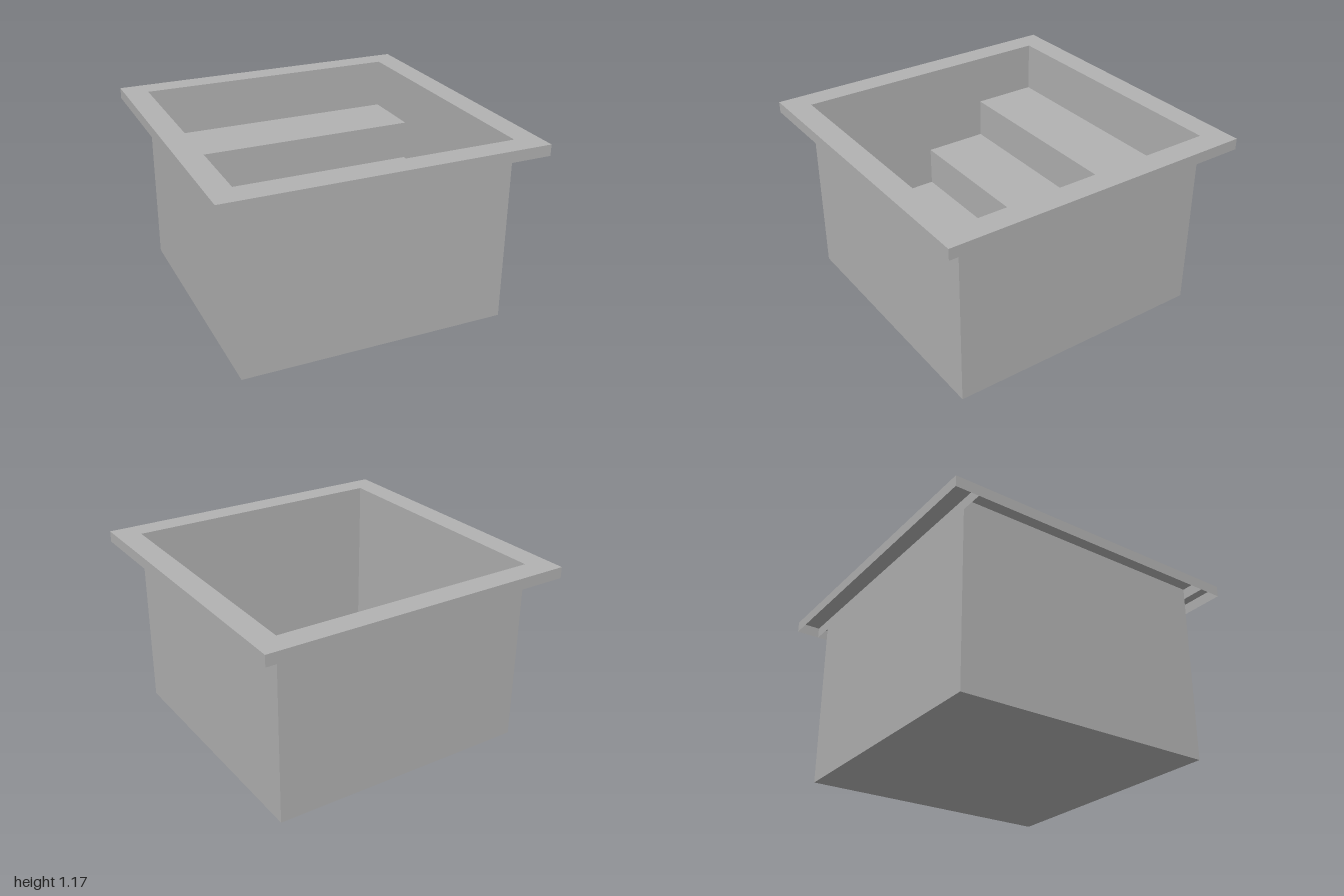
import * as THREE from 'three';

// Overall sizes
const INNER = 0.85;    // half width of the basin
const OUTER = 1;       // half width of the rim
const TOP = 1.175;     // top of the rim
const LIP = 1.105;     // lower edge of the rim
const FLOOR = 0.07;    // height of the basin floor
const RISE = 0.26;     // height of one step
const STEPS = 4;       // treads, the lowest being the floor

export function createModel() {
  const model = new THREE.Group();
  model.name = 'steppedBasin';

  const grey = new THREE.MeshStandardMaterial({ color: 0xb2b2b2, side: THREE.DoubleSide });
  grey.name = 'plainGrey';

  // Thin sheet facing +z, turned about x or y and placed by its centre
  function sheet(name, width, height, position, rotX = 0, rotY = 0) {
    const mesh = new THREE.Mesh(new THREE.PlaneGeometry(width, height), grey);
    mesh.name = name;
    mesh.position.set(...position);
    mesh.rotation.set(rotX, rotY, 0);
    model.add(mesh);
  }

  // Basin walls and underside
  const W = INNER * 2;
  sheet('frontWall', W, TOP, [0, TOP / 2, INNER]);
  sheet('backWall', W, TOP, [0, TOP / 2, -INNER], 0, Math.PI);
  sheet('leftWall', W, TOP, [INNER, TOP / 2, 0], 0, Math.PI / 2);
  sheet('rightWall', W, TOP, [-INNER, TOP / 2, 0], 0, -Math.PI / 2);
  sheet('underside', W, W, [0, 0, 0], Math.PI / 2);

  // Treads and risers climbing towards the back
  const depth = W / STEPS;
  for (let i = 0; i < STEPS; i++) {
    const y = FLOOR + i * RISE;
    const zFront = INNER - i * depth;
    sheet(i ? 'stepTread' : 'basinFloor', W, depth, [0, y, zFront - depth / 2], -Math.PI / 2);
    if (i) sheet('stepRiser', W, RISE, [0, y - RISE / 2, zFront]);
  }

  // Flat top of the rim, a square with a square hole
  const square = (r) => [[-r, -r], [r, -r], [r, r], [-r, r]].map(([x, y]) => new THREE.Vector2(x, y));
  const frame = new THREE.Shape(square(OUTER));
  frame.holes.push(new THREE.Path(square(INNER).reverse()));
  const rimTop = new THREE.Mesh(new THREE.ShapeGeometry(frame), grey);
  rimTop.name = 'rimTop';
  rimTop.rotation.x = -Math.PI / 2;
  rimTop.position.y = TOP;
  model.add(rimTop);

  // Rim edges, hollow below, with ribs carrying on the front and back walls
  const lipHeight = TOP - LIP;
  const lipY = (TOP + LIP) / 2;
  const gap = OUTER - INNER;
  for (const s of [-1, 1]) {
    sheet('rimEdge', OUTER * 2, lipHeight, [0, lipY, s * OUTER], 0, s > 0 ? 0 : Math.PI);
    sheet('rimEdge', OUTER * 2, lipHeight, [s * OUTER, lipY, 0], 0, s * Math.PI / 2);
    for (const t of [-1, 1]) {
      sheet('rimRib', gap, lipHeight, [s * (INNER + gap / 2), lipY, t * INNER], 0, t > 0 ? 0 : Math.PI);
    }
  }

  return model;
}
